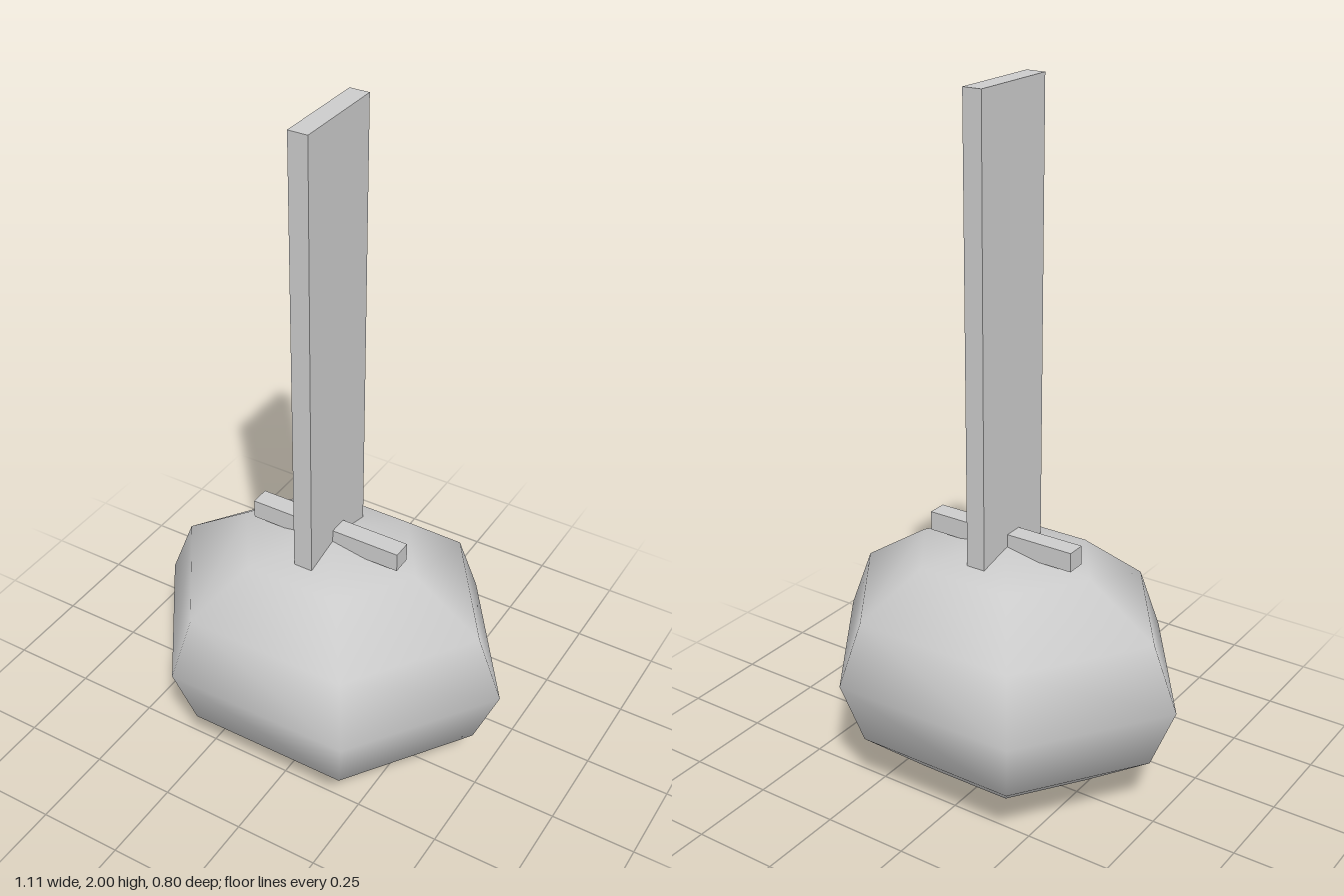
import * as THREE from 'three';

export function createModel() {
  const group = new THREE.Group();
  const material = new THREE.MeshStandardMaterial({ color: 0xcccccc });

  const add = (name, geometry, y) => {
    const mesh = new THREE.Mesh(geometry, material);
    mesh.name = name;
    mesh.position.y = y;
    group.add(mesh);
    return mesh;
  };

  // Smooth-shaded, six-sided ellipsoid base
  const base = add('base', new THREE.SphereGeometry(1, 6, 6), 0.374);
  base.scale.set(0.556, 0.371, 0.463);

  // Upright blade and the crossguard at its foot
  add('blade', new THREE.BoxGeometry(0.056, 1.29, 0.28), 1.355);
  add('crossguard', new THREE.BoxGeometry(0.464, 0.056, 0.056), 0.746);

  return group;
}
